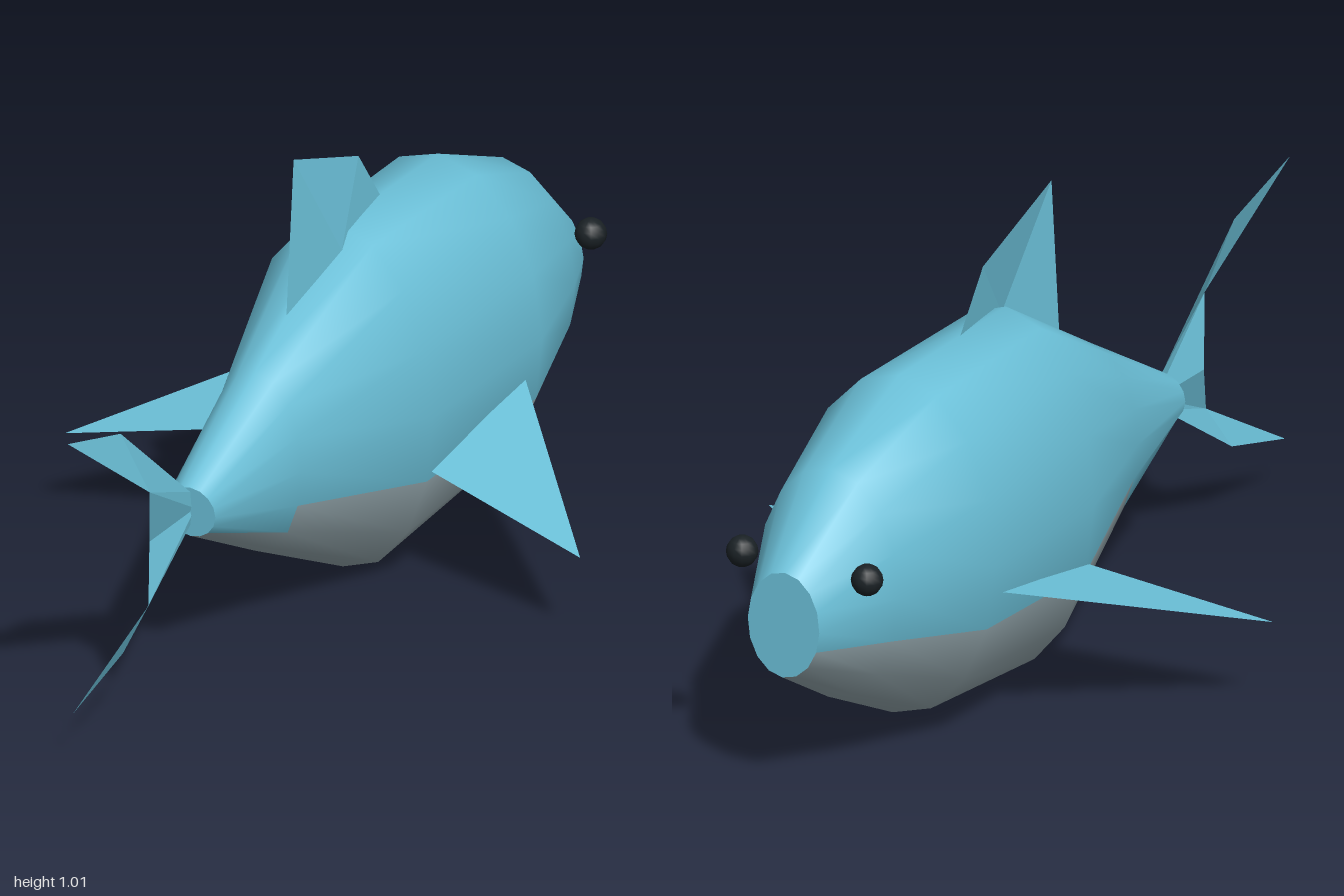
import * as THREE from 'three';

const SIDES = 16;

// Body cross-sections from tail to snout: top z, top y, bottom z, bottom y, half width
const SECTIONS = [
  [0.49, 0.44, 0.49, 0.33, 0.06],
  [0.22, 0.595, 0.22, 0.187, 0.11],
  [-0.12, 0.795, -0.145, 0.004, 0.222],
  [-0.54, 0.787, -0.565, 0.042, 0.242],
  [-0.81, 0.67, -0.82, 0.165, 0.17],
  [-0.99, 0.5, -1.0, 0.27, 0.087],
];

function ringPoint([zTop, yTop, zBottom, yBottom, halfWidth], i) {
  const t = (i / SIDES) * Math.PI * 2;
  const k = (1 - Math.cos(t)) / 2;
  return [
    Math.sin(t) * halfWidth,
    yTop + (yBottom - yTop) * k,
    zTop + (zBottom - zTop) * k,
  ];
}

function makeGeometry(points, index) {
  const g = new THREE.BufferGeometry();
  g.setAttribute('position', new THREE.Float32BufferAttribute(points.flat(), 3));
  g.setIndex(index);
  return g;
}

// Smooth loft; the belly strip is a second material group
function bodyGeometry() {
  const points = [];
  for (const s of SECTIONS) for (let i = 0; i < SIDES; i++) points.push(ringPoint(s, i));
  const back = [], belly = [];
  for (let r = 0; r < SECTIONS.length - 1; r++) {
    const first = r === 0 ? 6 : 5; // the belly strip narrows at the tail
    for (let i = 0; i < SIDES; i++) {
      const j = (i + 1) % SIDES;
      const a = r * SIDES + i, b = r * SIDES + j;
      const target = i >= first && i < SIDES - first ? belly : back;
      target.push(a, b, b + SIDES, a, b + SIDES, a + SIDES);
    }
  }
  const g = makeGeometry(points, [...back, ...belly]);
  g.addGroup(0, back.length, 0);
  g.addGroup(back.length, belly.length, 1);
  g.computeVertexNormals();
  return g;
}

// Flat disc closing one end of the body
function capGeometry(section, facesFront) {
  const points = [], index = [];
  for (let i = 0; i < SIDES; i++) points.push(ringPoint(section, i));
  for (let i = 1; i < SIDES - 1; i++) {
    index.push(0, ...(facesFront ? [i + 1, i] : [i, i + 1]));
  }
  const g = makeGeometry(points, index);
  g.computeVertexNormals();
  return g;
}

// Faceted fin: a fan of triangles from the first point
function finGeometry(points) {
  const index = [];
  for (let i = 1; i < points.length - 1; i++) index.push(0, i, i + 1);
  const g = makeGeometry(points, index).toNonIndexed();
  g.computeVertexNormals();
  return g;
}

export function createModel() {
  const group = new THREE.Group();
  const material = (name, color) => {
    const m = new THREE.MeshStandardMaterial({ color, side: THREE.DoubleSide });
    m.name = name;
    return m;
  };
  const blue = material('blueSkin', 0x6bc0d8);
  const grey = material('greyBelly', 0x96a9af);
  const black = material('blackEye', 0x1a2125);

  const add = (name, geometry, mat) => {
    const mesh = new THREE.Mesh(geometry, mat);
    mesh.name = name;
    group.add(mesh);
    return mesh;
  };

  // Body and its end faces
  add('body', bodyGeometry(), [blue, grey]);
  add('tailStump', capGeometry(SECTIONS[0], true), blue);
  add('snout', capGeometry(SECTIONS[SECTIONS.length - 1], false), blue);

  // Back fin, bowed to one side at its root
  add('dorsalFin', finGeometry([
    [0.035, 0.76, -0.08], [0, 0.67, 0.09], [0, 1.015, 0.06],
    [0, 0.915, -0.21], [0, 0.79, -0.3],
  ]), blue);

  // Tail fin lobes, each folded along its inner edge
  add('upperTailFin', finGeometry([
    [0.035, 0.53, 0.72], [0, 0.385, 0.66], [0, 0.385, 0.47],
    [0, 0.43, 0.49], [0, 0.68, 0.78], [0, 0.745, 1.0],
  ]), blue);
  add('lowerTailFin', finGeometry([
    [0.032, 0.27, 0.72], [0, 0.12, 0.98], [0, 0.175, 0.77],
    [0, 0.355, 0.49], [0, 0.385, 0.47], [0, 0.385, 0.66],
  ]), blue);

  // Side fins and eyes, mirrored
  for (const [side, s] of [['left', 1], ['right', -1]]) {
    add(side + 'SideFin', finGeometry([
      [s * 0.225, 0.34, -0.51], [s * 0.615, 0.2, -0.06], [s * 0.215, 0.272, -0.14],
    ]), blue);
    const eye = add(side + 'Eye', new THREE.SphereGeometry(0.034, 12, 8), black);
    eye.position.set(s * 0.152, 0.49, -0.912);
  }
  return group;
}
